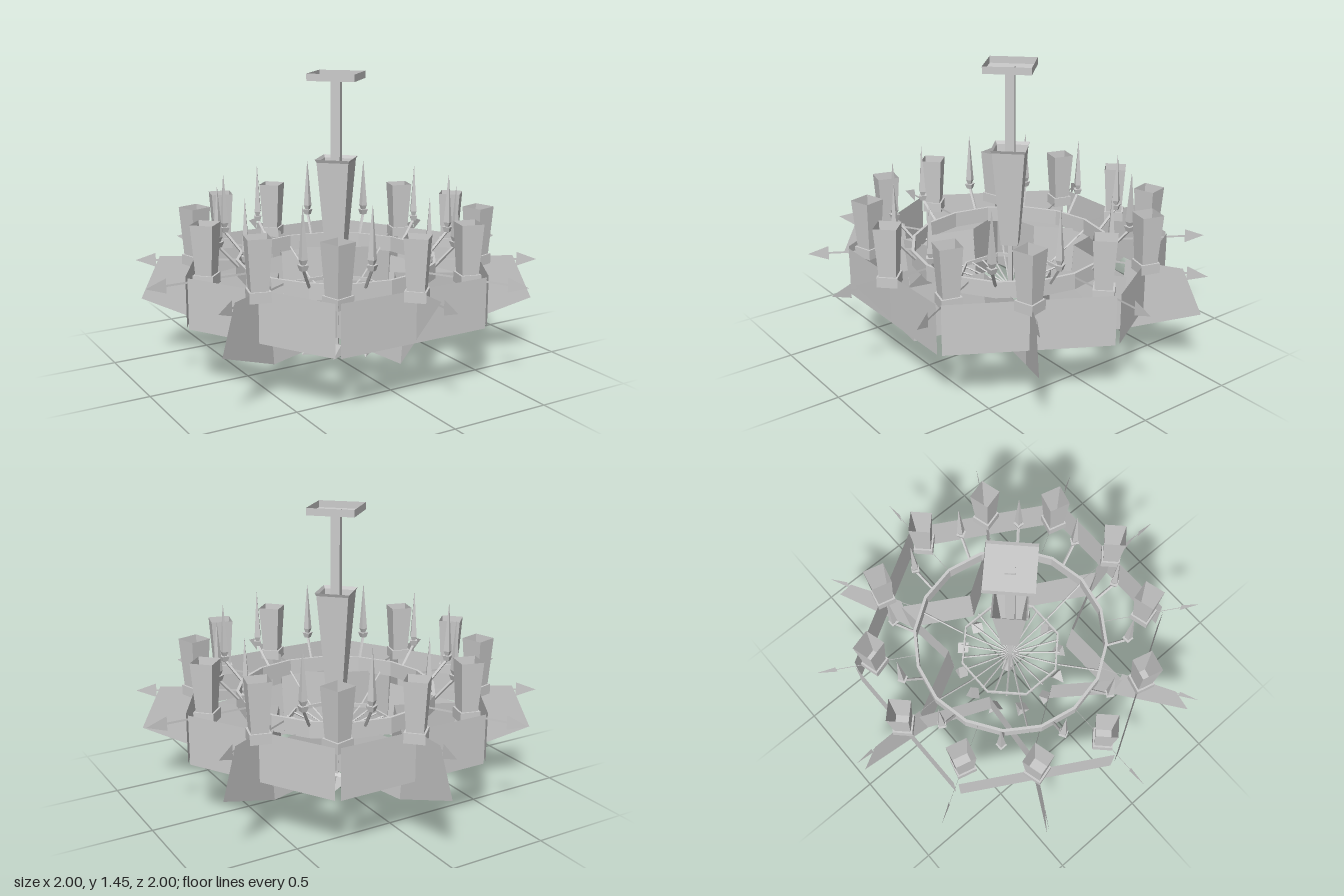
import * as THREE from 'three';

const mat = new THREE.MeshStandardMaterial({ color: 0xcccccc, flatShading: true, side: THREE.DoubleSide });

function add(parent, name, geometry) {
  const mesh = new THREE.Mesh(geometry, mat);
  mesh.name = name;
  parent.add(mesh);
  return mesh;
}

// Four-sided tapered tube between two heights
function taper(parent, name, rTop, rBottom, y0, y1, open = false) {
  const g = new THREE.CylinderGeometry(rTop, rBottom, y1 - y0, 4, 1, open);
  return add(parent, name, g.translate(0, (y0 + y1) / 2, 0));
}

// Flat horizontal square with its corners on the axes
function floorPlate(parent, name, r, y) {
  return add(parent, name, new THREE.CircleGeometry(r, 4).rotateX(-Math.PI / 2).translate(0, y, 0));
}

// Thin straight bar between two points
function bar(parent, name, a, b, r) {
  const p = new THREE.Vector3(...a), q = new THREE.Vector3(...b);
  const mesh = add(parent, name, new THREE.CylinderGeometry(r, r, p.distanceTo(q), 4));
  mesh.position.copy(p).add(q).multiplyScalar(0.5);
  mesh.quaternion.setFromUnitVectors(new THREE.Vector3(0, 1, 0), q.sub(p).normalize());
  return mesh;
}

// Flat polygon standing in the radial plane, points given as [radius, height]
function radialPlate(parent, name, points) {
  const shape = new THREE.Shape(points.map(([r, y]) => new THREE.Vector2(r, y)));
  return add(parent, name, new THREE.ShapeGeometry(shape).rotateY(-Math.PI / 2));
}

function quad(parent, name, corners) {
  const g = new THREE.BufferGeometry();
  g.setAttribute('position', new THREE.Float32BufferAttribute(corners.flat(), 3));
  g.setIndex([0, 1, 2, 0, 2, 3]);
  g.computeVertexNormals();
  return add(parent, name, g);
}

// Calls build() for each of n groups turned about the vertical axis
function around(parent, name, n, start, build) {
  for (let i = 0; i < n; i++) {
    const g = new THREE.Group();
    g.name = name;
    g.rotation.y = start + (i * Math.PI * 2) / n;
    build(g, i);
    parent.add(g);
  }
}

// Closed band with a rectangular section
function band(parent, name, rOut, rIn, y0, y1, sides, turn = 0) {
  const profile = [[rIn, y0], [rOut, y0], [rOut, y1], [rIn, y1], [rIn, y0]].map(([x, y]) => new THREE.Vector2(x, y));
  return add(parent, name, new THREE.LatheGeometry(profile, sides).rotateY(turn));
}

export function createModel() {
  const root = new THREE.Group();
  root.name = 'chandelier';

  // Ceiling tray, rod, central vase and lower stem
  taper(root, 'canopyRim', 0.165, 0.165, 1.425, 1.46, true);
  floorPlate(root, 'canopyBase', 0.165, 1.426);
  taper(root, 'rod', 0.032, 0.032, 0.6, 1.44);
  taper(root, 'vase', 0.112, 0.06, 0.54, 1.03, true);
  taper(root, 'vaseLip', 0.122, 0.112, 1.03, 1.045, true);
  floorPlate(root, 'vaseFloor', 0.06, 0.541);
  taper(root, 'stem', 0.016, 0.016, 0.08, 0.56);

  // Middle and inner rings with the fan of spokes
  band(root, 'middleRing', 0.5, 0.485, 0.47, 0.55, 16);
  band(root, 'innerRing', 0.27, 0.26, 0.355, 0.375, 8, Math.PI / 8);
  around(root, 'spoke', 24, 0, (g) => bar(g, 'spokeBar', [0, 0.3, 0.015], [0, 0.365, 0.26], 0.005));

  // Six sides: wall panel, folded star panels, hanging blade, brace
  around(root, 'side', 6, 0, (g, i) => {
    add(g, 'wallPanel', new THREE.PlaneGeometry(0.78, 0.247).translate(0, 0.432, 0.7));
    for (const s of [-1, 1]) {
      quad(g, 'starPanel', [
        [0, 0.17, 0.58], [s * 0.155, 0.23, 0.265], [s * 0.162, 0.51, 0.28], [0, 0.46, 0.61],
      ]);
    }
    const blade = [[0.6, 0.55], [0.58, 0.17], [0.98, 0.33], [0.88, 0.55]];
    if (i === 0) blade.splice(2, 1); // the front blade is cut short
    radialPlate(g, 'blade', blade);
    bar(g, 'brace', [0, 0.365, 0.265], [0, 0.49, 0.49], 0.005);
  });

  // Twelve arms: flat arrow, socket, cup and hanging crystal
  around(root, 'arm', 12, 0, (g, i) => {
    radialPlate(g, 'arrow', [
      [0.49, 0.526], [0.9, 0.526], [0.9, 0.495], [1, 0.53], [0.9, 0.567], [0.9, 0.536], [0.49, 0.536],
    ]);
    const lamp = new THREE.Group();
    lamp.name = 'lamp';
    lamp.position.z = 0.7;
    taper(lamp, 'socket', 0.07, 0.07, 0.51, 0.56);
    taper(lamp, 'cup', 0.077, 0.057, 0.56, 0.8, true);
    g.add(lamp);

    const crystal = add(g, 'crystal', new THREE.ConeGeometry(0.042, 0.07, 4));
    crystal.position.set(0, 0.138, 0.285);
    crystal.rotation.set(2.4 + 0.25 * Math.sin(i * 2.3), 0.5 * Math.sin(i * 1.7), 0.5);
  });

  // Twelve candle spikes on short arms
  around(root, 'spike', 12, Math.PI / 12, (g) => {
    bar(g, 'spikeArm', [0, 0.53, 0.495], [0, 0.64, 0.59], 0.008);
    const candle = new THREE.Group();
    candle.name = 'candle';
    candle.position.z = 0.59;
    taper(candle, 'candleDish', 0.028, 0.018, 0.635, 0.662);
    taper(candle, 'candleFoot', 0.022, 0.012, 0.662, 0.685);
    taper(candle, 'candleTip', 0.001, 0.022, 0.685, 0.93);
    g.add(candle);
  });

  // Bottom crystal
  const finial = add(root, 'finial', new THREE.ConeGeometry(0.038, 0.07, 4));
  finial.position.set(0, 0.042, 0);
  finial.rotation.set(2.5, 0.3, 0.4);
  return root;
}
